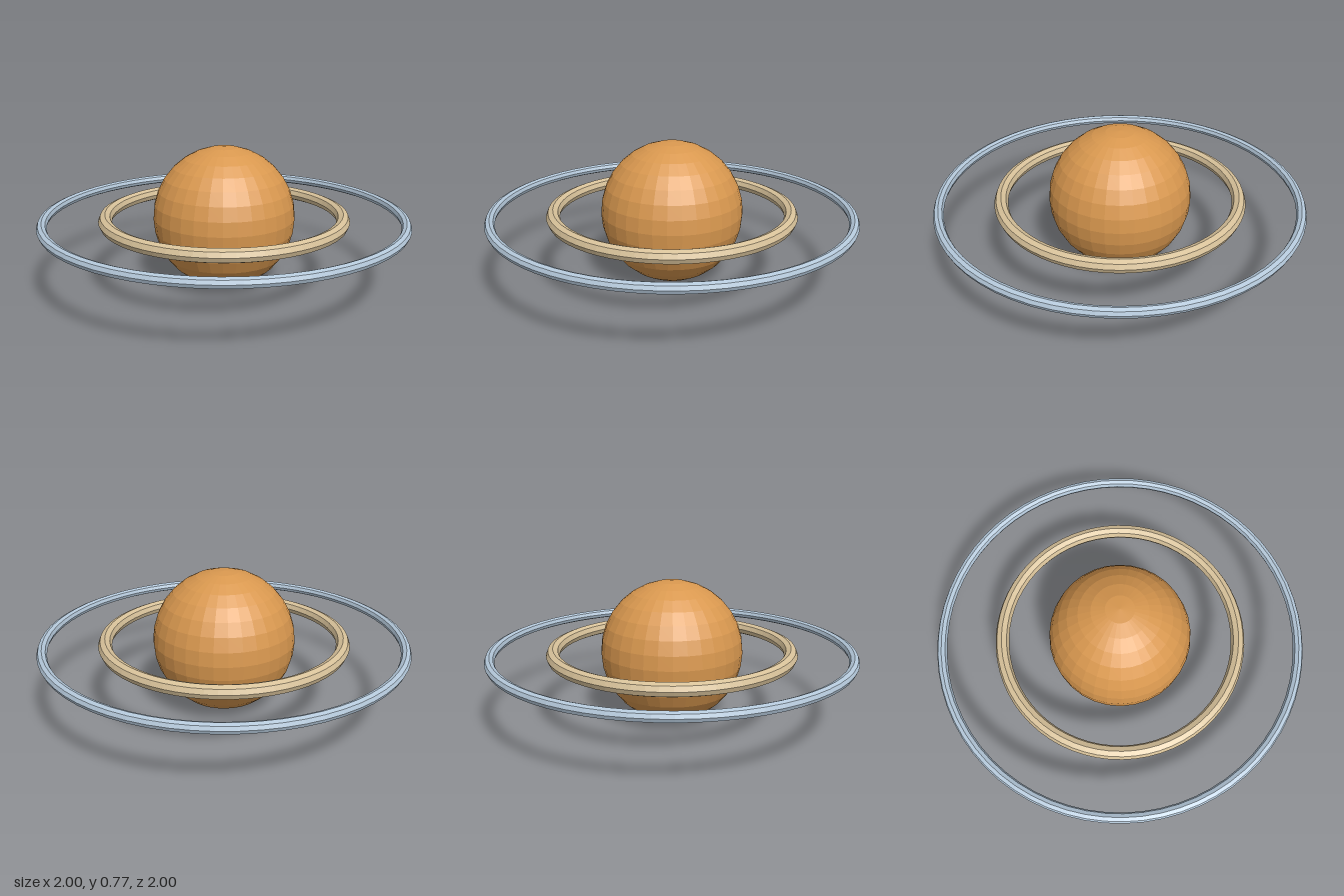
import * as THREE from 'three';

const CENTER_Y = 0.387;

function material(name, color) {
  const m = new THREE.MeshStandardMaterial({ color, flatShading: true });
  m.name = name;
  return m;
}

// Horizontal ring around the planet's equator
function ring(name, radius, tube, mat) {
  const geometry = new THREE.TorusGeometry(radius, tube, 8, 64);
  geometry.rotateX(-Math.PI / 2);
  const mesh = new THREE.Mesh(geometry, mat);
  mesh.name = name;
  mesh.position.y = CENTER_Y;
  return mesh;
}

export function createModel() {
  const model = new THREE.Group();
  model.name = 'ringedPlanet';

  // Faceted globe
  const planet = new THREE.Mesh(
    new THREE.SphereGeometry(0.387, 32, 16),
    material('planetOrange', 0xd9984f)
  );
  planet.name = 'planet';
  planet.position.y = CENTER_Y;
  model.add(planet);

  // Two concentric rings
  model.add(
    ring('innerRing', 0.645, 0.037, material('sandTan', 0xd8c29a)),
    ring('outerRing', 0.973, 0.027, material('paleBlue', 0xb4c8da))
  );
  return model;
}
